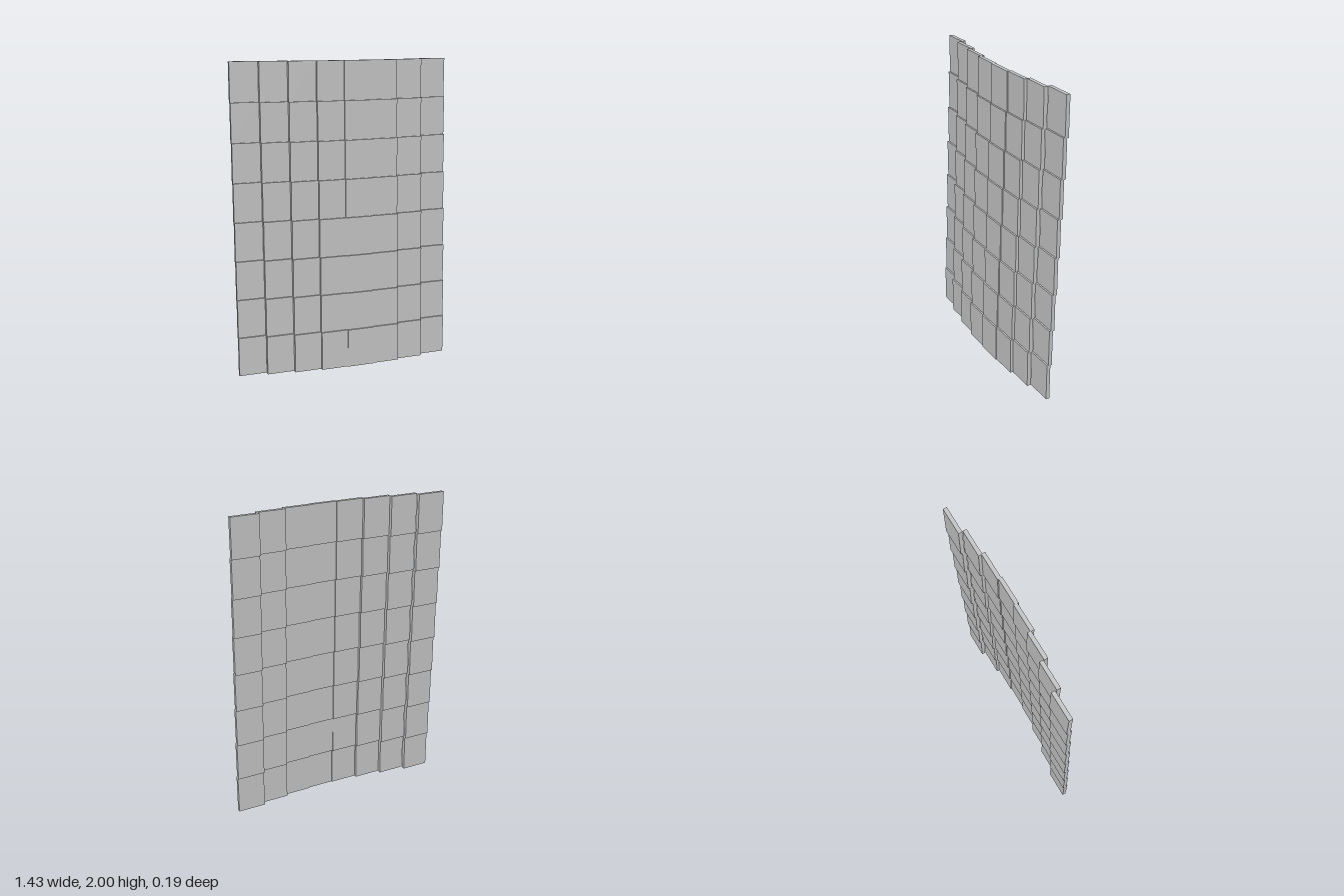
import * as THREE from 'three';

// Curved wall panel: an 8 x 8 grid of thin, slightly overlapping tiles.
export function createModel() {
  const group = new THREE.Group();
  group.name = 'tiledPanel';

  const grey = new THREE.MeshStandardMaterial({ color: 0xc6c6c6 });
  grey.name = 'light grey';

  const count = 8;
  const overlap = 1.02;             // each tile is 2% larger than its cell
  const cellX = 0.1783, cellY = 2 / (count - 1 + overlap);
  const thickness = 0.025;
  const bulge = 0.089;              // forward bow across the columns
  const lean = 0.0107;              // each row is set back from the one below
  const midZ = (bulge - lean * (count - 1)) / 2;

  const tile = new THREE.BoxGeometry(cellX * overlap, cellY * overlap, thickness);

  for (let row = 0; row < count; row++) {
    const course = new THREE.Group();
    course.name = `tileRow${row + 1}`;
    for (let col = 0; col < count; col++) {
      const mesh = new THREE.Mesh(tile, grey);
      mesh.name = `tile${row + 1}_${col + 1}`;
      mesh.position.set(
        (col - (count - 1) / 2) * cellX,
        row * cellY + cellY * overlap / 2,
        bulge * Math.sin(Math.PI * col / count) - row * lean - midZ
      );
      course.add(mesh);
    }
    group.add(course);
  }
  return group;
}
